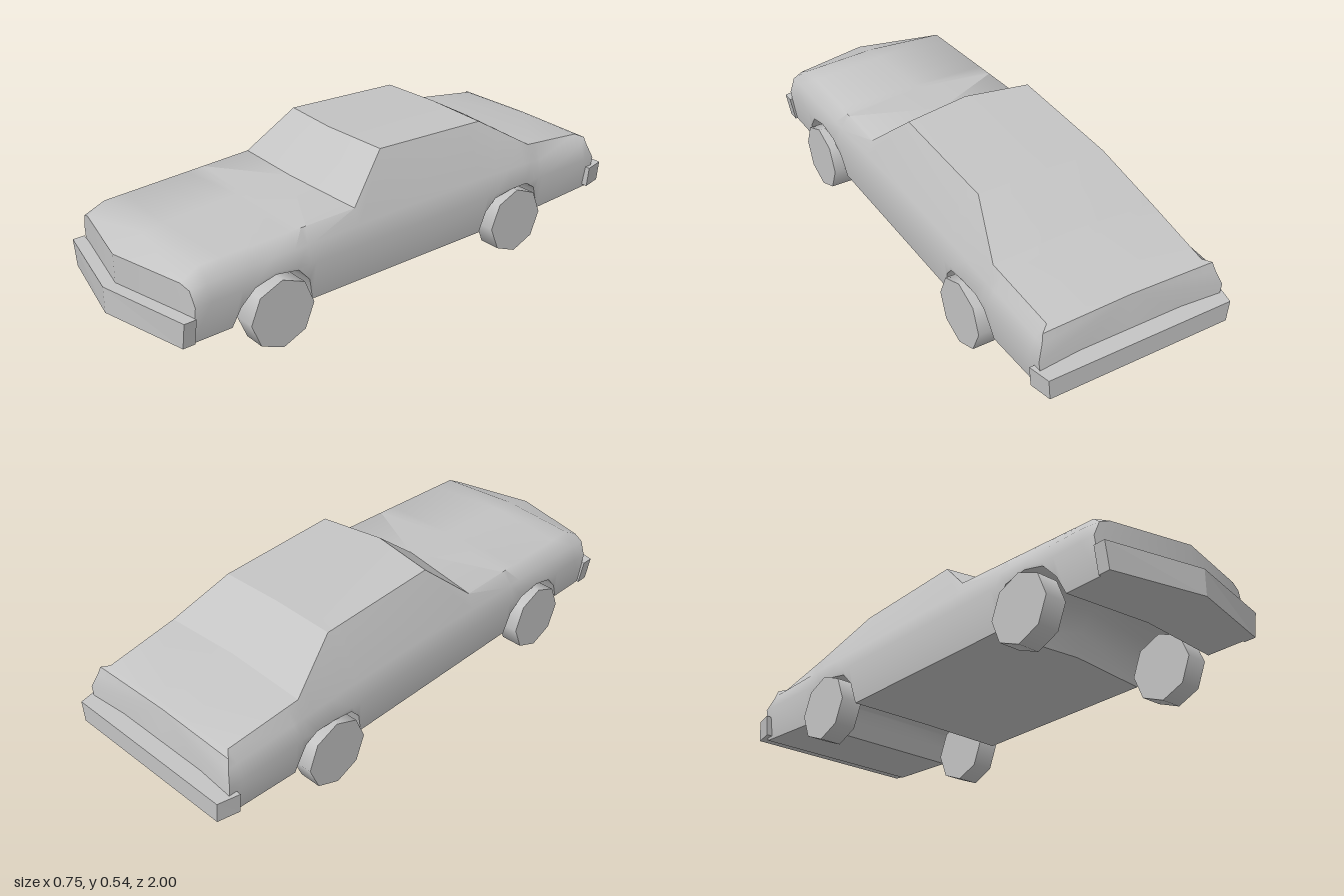
import * as THREE from 'three';
import { toCreasedNormals } from 'three/addons/utils/BufferGeometryUtils.js';

// Sill line with both wheel arches: z, y
const SILL = [
  [0.875, 0.122], [0.73, 0.122], [0.7, 0.19], [0.65, 0.245], [0.57, 0.265], [0.48, 0.25],
  [0.43, 0.195], [0.41, 0.11], [-0.36, 0.108], [-0.38, 0.19], [-0.42, 0.235], [-0.5, 0.25],
  [-0.58, 0.25], [-0.625, 0.22], [-0.645, 0.17], [-0.665, 0.117], [-0.95, 0.132],
];
// Upper body: z, shoulder x, shoulder y, top edge x, top edge y, centre y, forward bow, slant
const UPPER = [
  [0.875, 0.333, 0.308, 0.295, 0.322, 0.322, 0.08, 0],
  [0.815, 0.336, 0.313, 0.295, 0.36, 0.362, 0.03, 0],
  [0.211, 0.336, 0.32, 0.312, 0.376, 0.396, 0.04, 0],
  [0.037, 0.334, 0.325, 0.246, 0.525, 0.536, 0.043, 0],
  [-0.42, 0.334, 0.325, 0.246, 0.506, 0.513, 0, 0],
  [-0.62, 0.336, 0.32, 0.312, 0.383, 0.4, 0, 0],
  [-0.9, 0.336, 0.312, 0.297, 0.347, 0.352, 0, 0],
  [-0.95, 0.333, 0.308, 0.325, 0.338, 0.345, 0, 0.33],
];

// Linear look-up in a table sorted from front to back
function sample(table, z) {
  let i = 0;
  while (i < table.length - 2 && z < table[i + 1][0]) i++;
  const a = table[i], b = table[i + 1];
  const t = (z - a[0]) / (b[0] - a[0]);
  return a.map((v, k) => v + (b[k] - v) * t);
}

// One ten-point ring, counterclockwise seen from the front
function ring(z) {
  const [, sx, sy, ex, ey, top, bow, slant] = sample(UPPER, z);
  const yb = sample(SILL, z)[1];
  const half = [
    [0, yb],
    [Math.min(0.353, 0.333 + (yb - 0.11) * 0.14), yb],
    [0.354, Math.max(0.255, yb + 0.01)],
    [sx, sy], [ex, ey], [0, top],
  ];
  const all = [...half, ...half.slice(1, 5).reverse().map(([x, y]) => [-x, y])];
  return all.map(([x, y]) => [
    x, y, z + bow * (1 - Math.abs(x) / 0.35) + slant * Math.max(0, y - 0.255),
  ]);
}

// Lofted shell split into the smooth body and the crisp greenhouse panels
function buildShell() {
  const zs = [...new Set([...SILL, ...UPPER].map((r) => r[0]))].sort((a, b) => b - a);
  const position = new THREE.Float32BufferAttribute(zs.flatMap((z) => ring(z).flat()), 3);
  const body = [], panels = [];
  for (let i = 0; i < zs.length - 1; i++) {
    for (let j = 0; j < 10; j++) {
      const k = (j + 1) % 10;
      const a = i * 10 + j, b = i * 10 + k, c = b + 10, d = a + 10;
      const isPanel = (j === 4 || j === 5) && zs[i] < 0.22;
      // mirrored diagonals keep both halves alike
      const tris = j < 5 ? [a, d, c, a, c, b] : [a, d, b, d, c, b];
      (isPanel ? panels : body).push(...tris);
    }
  }
  // nose and tail faces
  const last = (zs.length - 1) * 10;
  for (let j = 0; j < 10; j++) {
    const k = (j + 1) % 10;
    if (j === 5 || k === 5) continue;
    body.push(5, j, k, last + 5, last + k, last + j);
  }
  const make = (index, crease) => {
    const g = new THREE.BufferGeometry();
    g.setAttribute('position', position);
    g.setIndex(index);
    return toCreasedNormals(g.toNonIndexed(), crease);
  };
  return [make(body, 1.0), make(panels, 0.25)];
}

// Bumper from a plan outline (x, z), narrowed towards its lower edge
function bumperGeometry(plan, y0, y1, taper) {
  const shape = new THREE.Shape(plan.map(([x, z]) => new THREE.Vector2(x, -z)));
  const g = new THREE.ExtrudeGeometry(shape, { depth: y1 - y0, bevelEnabled: false });
  g.rotateX(-Math.PI / 2).translate(0, y0, 0);
  const p = g.attributes.position;
  for (let i = 0; i < p.count; i++) {
    if (p.getY(i) < (y0 + y1) / 2) p.setX(i, p.getX(i) * taper);
  }
  g.computeVertexNormals();
  return g;
}

export function createModel() {
  const car = new THREE.Group();
  car.name = 'car';
  const grey = new THREE.MeshStandardMaterial({ color: 0xc4c4c4 });
  grey.name = 'plain grey';
  const add = (name, geometry) => {
    const mesh = new THREE.Mesh(geometry, grey);
    mesh.name = name;
    car.add(mesh);
    return mesh;
  };

  // Body shell, roof and windows
  const [body, panels] = buildShell();
  add('body', body);
  add('roofAndWindows', panels);

  // Bumpers
  add('frontBumper', bumperGeometry(
    [[0, 1], [0.359, 0.92], [0.359, 0.875], [0, 0.945], [-0.359, 0.875], [-0.359, 0.92]],
    0.122, 0.218, 0.955));
  add('rearBumper', bumperGeometry(
    [[-0.35, -1], [-0.368, -0.92], [0.368, -0.92], [0.35, -1]], 0.142, 0.22, 0.98));

  // Eight-sided wheels
  const wheel = new THREE.CylinderGeometry(0.125, 0.125, 0.083, 8).rotateZ(Math.PI / 2);
  for (const [end, z] of [['front', 0.56], ['rear', -0.51]]) {
    for (const [side, s] of [['Left', 1], ['Right', -1]]) {
      add(`${end}${side}Wheel`, wheel).position.set(s * 0.332, 0.126, z);
    }
  }
  return car;
}
